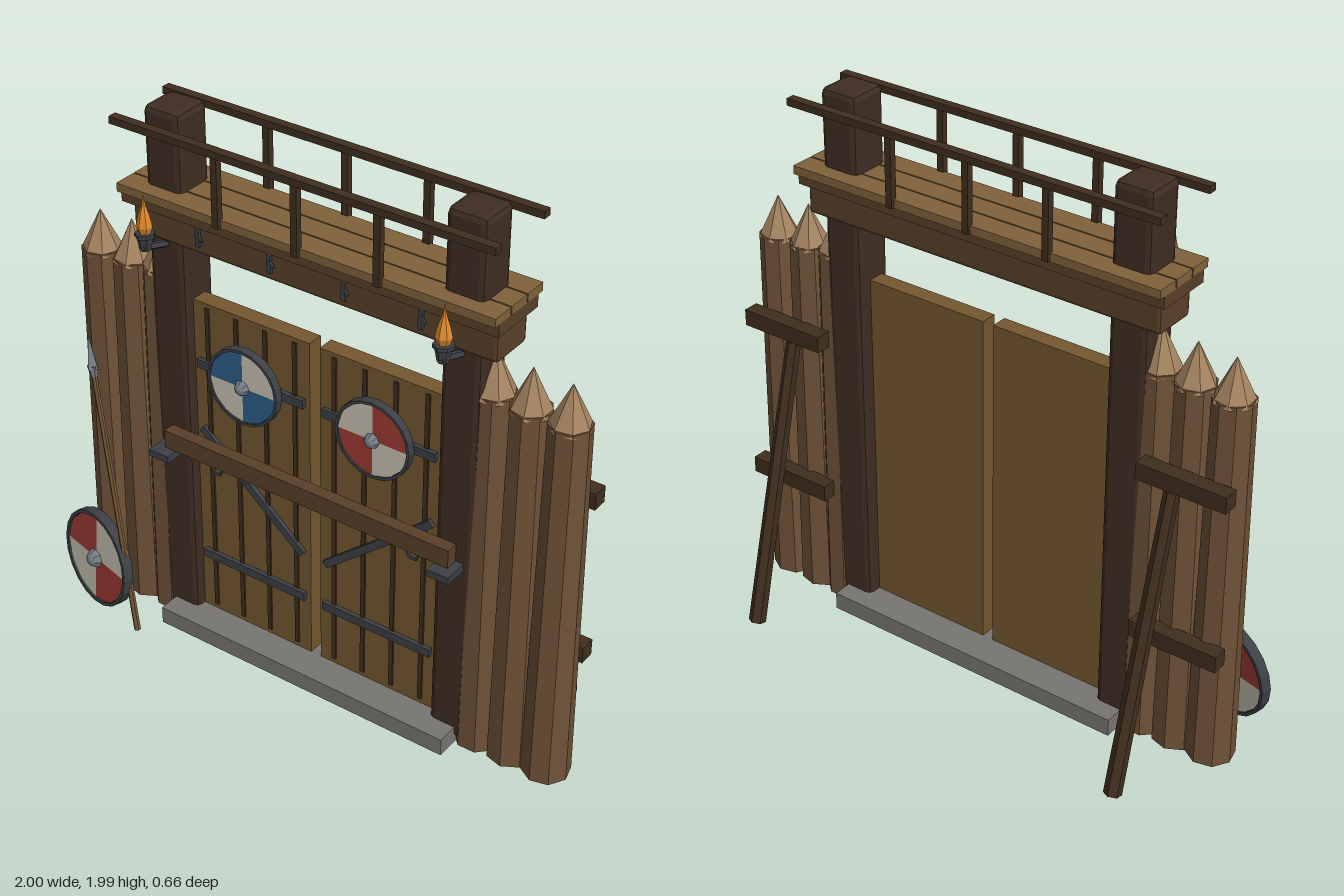
import * as THREE from 'three';
import { RoundedBoxGeometry } from 'three/addons/geometries/RoundedBoxGeometry.js';

const mat = (color) => new THREE.MeshStandardMaterial({ color, flatShading: true });
const M = {
  post: mat(0x3f2d22), log: mat(0x6f5238), tip: mat(0xa48460), door: mat(0x74572f),
  gap: mat(0x3f2e1c), beam: mat(0x5a4029), plank: mat(0x80623b), rail: mat(0x3f2e1e),
  iron: mat(0x3c4045), steel: mat(0x757d84), stone: mat(0x787671), shaft: mat(0x735636),
  red: mat(0xa03c34), blue: mat(0x2f5f8c), white: mat(0xc9c3b4), flame: mat(0xe08a2c),
};
const CX = 0.005; // centre line of the gate
const CZ = 0.072; // middle of the wall's depth

export function createModel() {
  const root = new THREE.Group();
  root.name = 'palisadeGate';

  const add = (name, geo, m, x = 0, y = 0, z = 0, parent = root) => {
    const mesh = new THREE.Mesh(geo, m);
    mesh.name = name;
    mesh.position.set(x, y, z);
    parent.add(mesh);
    return mesh;
  };
  // Box given by its lower and upper limits
  const box = (name, m, [x0, x1], [y0, y1], [z0, z1], bevel = 0) => {
    const w = x1 - x0, h = y1 - y0, d = z1 - z0;
    const geo = bevel ? new RoundedBoxGeometry(w, h, d, 1, bevel) : new THREE.BoxGeometry(w, h, d);
    return add(name, geo, m, (x0 + x1) / 2, (y0 + y1) / 2, (z0 + z1) / 2);
  };
  // Tapered rod between two points
  const rod = (name, m, a, b, r0, r1, sides = 6) => {
    const p = new THREE.Vector3(...a), q = new THREE.Vector3(...b);
    const dir = q.clone().sub(p);
    const mesh = add(name, new THREE.CylinderGeometry(r1, r0, dir.length(), sides), m);
    mesh.position.copy(p).add(q).multiplyScalar(0.5);
    mesh.quaternion.setFromUnitVectors(new THREE.Vector3(0, 1, 0), dir.normalize());
    return mesh;
  };
  // Round shield facing +z: four painted quarters, an iron rim and a boss
  const shield = (name, r, depth, topRight, topLeft) => {
    const g = new THREE.Group();
    g.name = name;
    for (let i = 0; i < 4; i++) {
      const quarter = new THREE.CylinderGeometry(r * 0.94, r * 0.94, depth * 0.7, 3, 1, false, i * Math.PI / 2, Math.PI / 2);
      quarter.rotateX(Math.PI / 2);
      add('shieldQuarter', quarter, i % 2 ? topRight : topLeft, 0, 0, 0, g);
    }
    const ring = new THREE.Shape().absarc(0, 0, r, 0, Math.PI * 2);
    ring.holes.push(new THREE.Path().absarc(0, 0, r * 0.93, 0, Math.PI * 2, true));
    const rim = new THREE.ExtrudeGeometry(ring, { depth, bevelEnabled: false, curveSegments: 10 });
    rim.rotateZ(Math.PI / 2).translate(0, 0, -depth / 2);
    add('shieldRim', rim, M.iron, 0, 0, 0, g);
    const boss = new THREE.SphereGeometry(r * 0.19, 8, 4, 0, Math.PI * 2, 0, Math.PI / 2);
    boss.rotateX(Math.PI / 2);
    add('shieldBoss', boss, M.steel, 0, 0, depth * 0.35, g);
    root.add(g);
    return g;
  };

  // Sill, lintel and walkway
  box('sill', M.stone, [-0.585, 0.595], [0.01, 0.075], [-0.07, 0.225]);
  box('lintel', M.beam, [-0.675, 0.695], [1.535, 1.65], [-0.008, 0.155], 0.012);
  box('walkwayBearer', M.beam, [-0.7, 0.71], [1.645, 1.69], [-0.035, 0.18]);
  for (let i = 0; i < 3; i++) {
    const z = -0.058 + i * 0.088;
    box('walkwayPlank', M.plank, [-0.7, 0.71], [1.688, 1.718], [z, z + 0.083]);
  }

  // Railings at the front and back of the walkway
  for (const z of [-0.058, 0.203]) {
    box('handrail', M.rail, [-0.7, 0.71], [1.932, 1.957], [z - 0.016, z + 0.016]);
    for (const dx of [-0.3, 0, 0.3])
      box('baluster', M.rail, [CX + dx - 0.012, CX + dx + 0.012], [1.69, 1.94], [z - 0.012, z + 0.012]);
  }

  // Hooks along the lintel
  for (let i = 0; i < 4; i++) {
    const x = -0.41 + i * 0.28;
    box('hookPlate', M.iron, [x - 0.008, x + 0.008], [1.565, 1.628], [0.153, 0.165]);
    rod('hook', M.iron, [x, 1.61, 0.162], [x + 0.022, 1.592, 0.168], 0.007, 0.005, 5);
  }

  for (const s of [-1, 1]) {
    const px = CX + s * 0.56;
    // Gate post
    box('gatePost', M.post, [px - 0.072, px + 0.072], [0.03, 1.99], [0, 0.146], 0.022);

    // Palisade logs with sharpened tips
    [[0.64, 1.385, 1.53], [0.765, 1.375, 1.515], [0.9, 1.37, 1.508]].forEach(([dx, top, tip], i) => {
      const x = CX + s * dx, turn = i * 1.3 + s * 0.4;
      add('palisadeLog', new THREE.CylinderGeometry(0.07, 0.084, top - 0.01, 8), M.log, x, (top + 0.01) / 2, CZ).rotation.y = turn;
      add('logTip', new THREE.ConeGeometry(0.072, tip - top + 0.012, 7), M.tip, x, (tip + top - 0.012) / 2, CZ).rotation.y = turn + 0.3;
    });

    // Rear cross rails and prop
    const ends = [CX + s * 0.64, CX + s * 0.967].sort((a, b) => a - b);
    for (const y of [0.44, 1.04]) box('crossRail', M.rail, ends, [y, y + 0.06], [-0.052, 0.005]);
    rod('rearProp', M.rail, [CX + s * 0.765, 0.012, -0.3], [CX + s * 0.765, 1.035, -0.035], 0.031, 0.026);

    // Door leaf with seams, iron straps and brace
    const dx = CX + s * 0.253;
    box('doorLeaf', M.door, [dx - 0.233, dx + 0.233], [0.075, 1.325], [0.05, 0.11]);
    for (let i = 0; i < 4; i++) {
      const x = dx + (i - 1.5) * 0.117;
      box('doorSeam', M.gap, [x - 0.008, x + 0.008], [0.095, 1.31], [0.105, 0.116]);
    }
    for (const y of [1.095, 0.315]) box('doorStrap', M.iron, [dx - 0.215, dx + 0.215], [y - 0.016, y + 0.016], [0.105, 0.126]);
    const brace = add('doorBrace', new THREE.BoxGeometry(0.54, 0.028, 0.018), M.iron, dx, 0.665, 0.116);
    brace.rotation.z = s * 0.7;

    // Ring handle
    add('ringHandle', new THREE.TorusGeometry(0.024, 0.006, 5, 6), M.iron, CX + s * 0.397, 0.7, 0.128);
    add('ringMount', new THREE.BoxGeometry(0.018, 0.018, 0.03), M.iron, CX + s * 0.397, 0.726, 0.118);

    // Bracket holding the bar
    const bx = [px - 0.04, px + 0.04];
    box('barBracket', M.iron, bx, [0.732, 0.758], [0.14, 0.235]);

    // Torch: arm, cup and flame
    rod('torchArm', M.iron, [px, 1.52, 0.14], [px, 1.56, 0.262], 0.013, 0.013, 5);
    add('torchCup', new THREE.CylinderGeometry(0.03, 0.019, 0.06, 7), M.iron, px, 1.575, 0.243);
    add('torchBand', new THREE.CylinderGeometry(0.034, 0.034, 0.013, 7), M.iron, px, 1.6, 0.243);
    const flame = [[0.018, 1.6], [0.028, 1.63], [0.02, 1.665], [0.008, 1.7], [0.0, 1.745]];
    add('torchFlame', new THREE.LatheGeometry(flame.map(([r, y]) => new THREE.Vector2(r, y)), 7), M.flame, px, 0, 0.243);
  }

  // Bar across the doors
  box('gateBar', M.beam, [-0.56, 0.575], [0.757, 0.825], [0.148, 0.193]);

  // Shields hung on the doors
  shield('leftDoorShield', 0.141, 0.03, M.red, M.white).position.set(0.26, 1.095, 0.147);
  shield('rightDoorShield', 0.141, 0.03, M.white, M.blue).position.set(-0.25, 1.095, 0.147);

  // Shield leaning on the ground
  const ground = shield('groundShield', 0.182, 0.038, M.white, M.red);
  ground.position.set(-0.832, 0.216, 0.265);
  ground.rotation.set(-0.08, -0.26, 0, 'YXZ');

  // Spear leaning on the palisade
  rod('spearShaft', M.shaft, [-0.637, 0.004, 0.303], [-0.805, 1.02, 0.257], 0.012, 0.01);
  rod('spearSocket', M.steel, [-0.8, 0.985, 0.258], [-0.806, 1.025, 0.256], 0.012, 0.02);
  rod('spearHead', M.steel, [-0.805, 1.015, 0.257], [-0.823, 1.135, 0.25], 0.023, 0.001, 4);

  return root;
}
